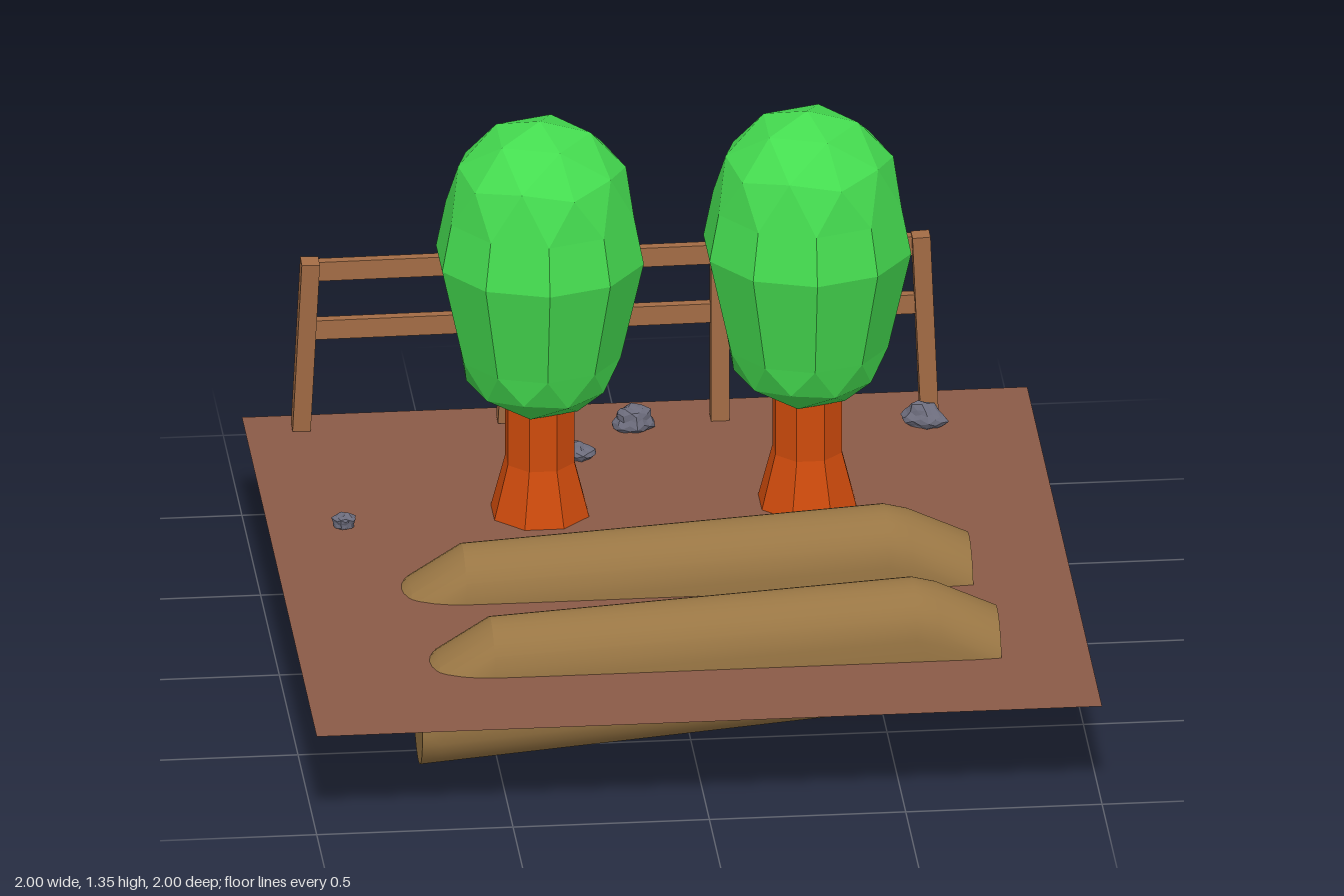
import * as THREE from 'three';
import { mergeGeometries, toCreasedNormals } from 'three/addons/utils/BufferGeometryUtils.js';

const GROUND = 0.275;
const flat = (color) => new THREE.MeshStandardMaterial({ color, flatShading: true });
const soil = new THREE.MeshStandardMaterial({ color: 0x8b5a47, side: THREE.DoubleSide });
const logWood = new THREE.MeshStandardMaterial({ color: 0x997644 });
const bark = flat(0xcf4b0c);
const leaves = flat(0x45dc50);
const fenceWood = flat(0xa36c45);
const stoneGrey = flat(0x6c6c7c);

function add(parent, name, geometry, material) {
  const mesh = new THREE.Mesh(geometry, material);
  mesh.name = name;
  parent.add(mesh);
  return mesh;
}

// Half of a faceted ball with a vertex at its pole; sign picks upper or lower half
function halfBall(radius, height, y, sign) {
  const src = new THREE.IcosahedronGeometry(1, 1).rotateZ(-Math.atan(2 / (1 + Math.sqrt(5))));
  const p = src.attributes.position;
  const out = [];
  for (let i = 0; i < p.count; i += 3) {
    if ((p.getY(i) + p.getY(i + 1) + p.getY(i + 2)) * sign < 0) continue;
    for (let k = i; k < i + 3; k++) {
      out.push(p.getX(k) * radius, y + p.getY(k) * height, p.getZ(k) * radius);
    }
  }
  const g = new THREE.BufferGeometry();
  g.setAttribute('position', new THREE.Float32BufferAttribute(out, 3));
  g.computeVertexNormals();
  return g;
}

// Open ring of straight facets between two heights
function band(rTop, yTop, rBottom, yBottom) {
  const g = new THREE.CylinderGeometry(rTop, rBottom, yTop - yBottom, 10, 1, true)
    .translate(0, (yTop + yBottom) / 2, 0).toNonIndexed();
  g.deleteAttribute('uv');
  return g;
}

function tree(x, z) {
  const g = new THREE.Group();
  g.name = 'tree';
  const trunk = new THREE.LatheGeometry(
    [[0, 0.25], [0.137, 0.25], [0.092, 0.42], [0.092, 0.62]].map(([r, y]) => new THREE.Vector2(r, y)),
    8, Math.PI / 8);
  add(g, 'trunk', trunk, bark);
  add(g, 'foliage', mergeGeometries([
    halfBall(0.245, 0.245, 1.11, 1),
    band(0.245, 1.11, 0.27, 0.985),
    band(0.27, 0.985, 0.21, 0.72),
    halfBall(0.21, 0.17, 0.72, -1),
  ]), leaves);
  g.position.set(x, 0, z);
  return g;
}

// Log: rounded upright cross-sections joined along x, sinking towards -x
function logGeometry() {
  const tops = [[-0.7, 0.24], [-0.65, 0.3], [-0.515, 0.385], [0.56, 0.45], [0.62, 0.435], [0.775, 0.362]];
  const r = 0.118, half = 12, n = 2 * (half + 1);
  const pos = [], idx = [];
  for (const [x, top] of tops) {
    const bottom = 0.003 + (x + 0.7) * 0.084;
    for (let i = 0; i < n; i++) {
      const upper = i <= half;
      const a = Math.PI * (upper ? i : i - 1) / half;
      const centre = upper ? Math.max(top - r, bottom + r) : bottom + r;
      pos.push(x, centre + Math.sin(a) * r, Math.cos(a) * r);
    }
  }
  for (let s = 0; s < tops.length - 1; s++) {
    for (let i = 0; i < n; i++) {
      const a = s * n + i, b = s * n + (i + 1) % n;
      idx.push(a, a + n, b, b, a + n, b + n);
    }
  }
  // End caps
  const last = (tops.length - 1) * n;
  for (let i = 1; i < n - 1; i++) {
    idx.push(0, i, i + 1, last, last + i + 1, last + i);
  }
  const g = new THREE.BufferGeometry();
  g.setAttribute('position', new THREE.Float32BufferAttribute(pos, 3));
  g.setIndex(idx);
  // Make the faces point outwards
  const test = new THREE.Vector3(), e = new THREE.Vector3(), p = g.attributes.position;
  const k = 2 * n + 6;
  test.fromBufferAttribute(p, k + n).sub(e.fromBufferAttribute(p, k));
  e.fromBufferAttribute(p, k + 1).sub(new THREE.Vector3().fromBufferAttribute(p, k));
  if (test.cross(e).y < 0) {
    for (let i = 0; i < (tops.length - 1) * n * 6; i += 3) [idx[i], idx[i + 1]] = [idx[i + 1], idx[i]];
  }
  // Caps wind the opposite way round at each end
  const c = (tops.length - 1) * n * 6;
  const at = (i) => new THREE.Vector3().fromBufferAttribute(p, idx[i]);
  const mid = c + 6 * 8;
  const nx = at(mid + 1).sub(at(mid)).cross(at(mid + 2).sub(at(mid))).x;
  if (nx > 0) for (let i = c; i < idx.length; i += 3) [idx[i], idx[i + 1]] = [idx[i + 1], idx[i]];
  g.setIndex(idx);
  return toCreasedNormals(g, 0.4);
}

// Square beam running between two points
function beam(from, to, width, depth) {
  const a = new THREE.Vector3(...from), b = new THREE.Vector3(...to);
  const g = new THREE.BoxGeometry(width, a.distanceTo(b), depth);
  g.applyQuaternion(new THREE.Quaternion().setFromUnitVectors(
    new THREE.Vector3(0, 1, 0), b.clone().sub(a).normalize()));
  const m = a.add(b).multiplyScalar(0.5);
  return g.translate(m.x, m.y, m.z);
}

// Lumpy stone: a ball whose points are pushed in and out by a rule
function stoneGeometry(sx, sy, sz, seed) {
  const g = new THREE.IcosahedronGeometry(1, 2);
  const p = g.attributes.position;
  const v = new THREE.Vector3();
  for (let i = 0; i < p.count; i++) {
    v.fromBufferAttribute(p, i);
    const f = 0.86 + 0.14 * Math.sin(5 * v.x + seed) * Math.cos(4 * v.z + 2 * seed) + 0.1 * Math.sin(6 * v.y + 3 * seed);
    p.setXYZ(i, v.x * f * sx, v.y * f * sy, v.z * f * sz);
  }
  g.computeVertexNormals();
  return g;
}

export function createModel() {
  const root = new THREE.Group();
  root.name = 'woodlandPlot';

  add(root, 'ground', new THREE.PlaneGeometry(2, 2).rotateX(-Math.PI / 2), soil).position.y = GROUND;

  root.add(tree(-0.303, -0.35), tree(0.378, -0.35));

  const logShape = logGeometry();
  for (const [x, z] of [[0, 0.563], [-0.028, 0.102]]) {
    add(root, 'log', logShape, logWood).position.set(x, 0, z);
  }

  // Fence: four slightly crooked posts and two rails
  const fence = new THREE.Group();
  fence.name = 'fence';
  root.add(fence);
  const posts = [
    [[-0.858, 0.278, -0.917], [-0.838, 0.755, -0.88]],
    [[-0.335, 0.278, -0.917], [-0.315, 0.755, -0.885]],
    [[0.205, 0.275, -0.885], [0.205, 0.755, -0.885]],
    [[0.738, 0.278, -0.885], [0.717, 0.765, -0.878]],
  ];
  for (const [from, to] of posts) add(fence, 'post', beam(from, to, 0.046, 0.046), fenceWood);
  for (const y of [0.56, 0.722]) {
    add(fence, 'rail', beam([-0.835, y, -0.897], [0.725, y + 0.01, -0.893], 0.052, 0.026), fenceWood);
  }

  // Scattered stones: x, y, z, half sizes, turn
  const stones = [
    [-0.02, 0.295, -0.84, 0.06, 0.045, 0.042, 0.2],
    [0.715, 0.295, -0.79, 0.065, 0.045, 0.038, -0.35],
    [-0.18, 0.287, -0.675, 0.055, 0.036, 0.038, -0.6],
    [-0.805, 0.291, -0.298, 0.034, 0.027, 0.027, 0],
  ];
  stones.forEach(([x, y, z, sx, sy, sz, turn], i) => {
    const s = add(root, 'stone', stoneGeometry(sx, sy, sz, i * 1.7 + 1), stoneGrey);
    s.position.set(x, y, z);
    s.rotation.y = turn;
  });

  return root;
}
